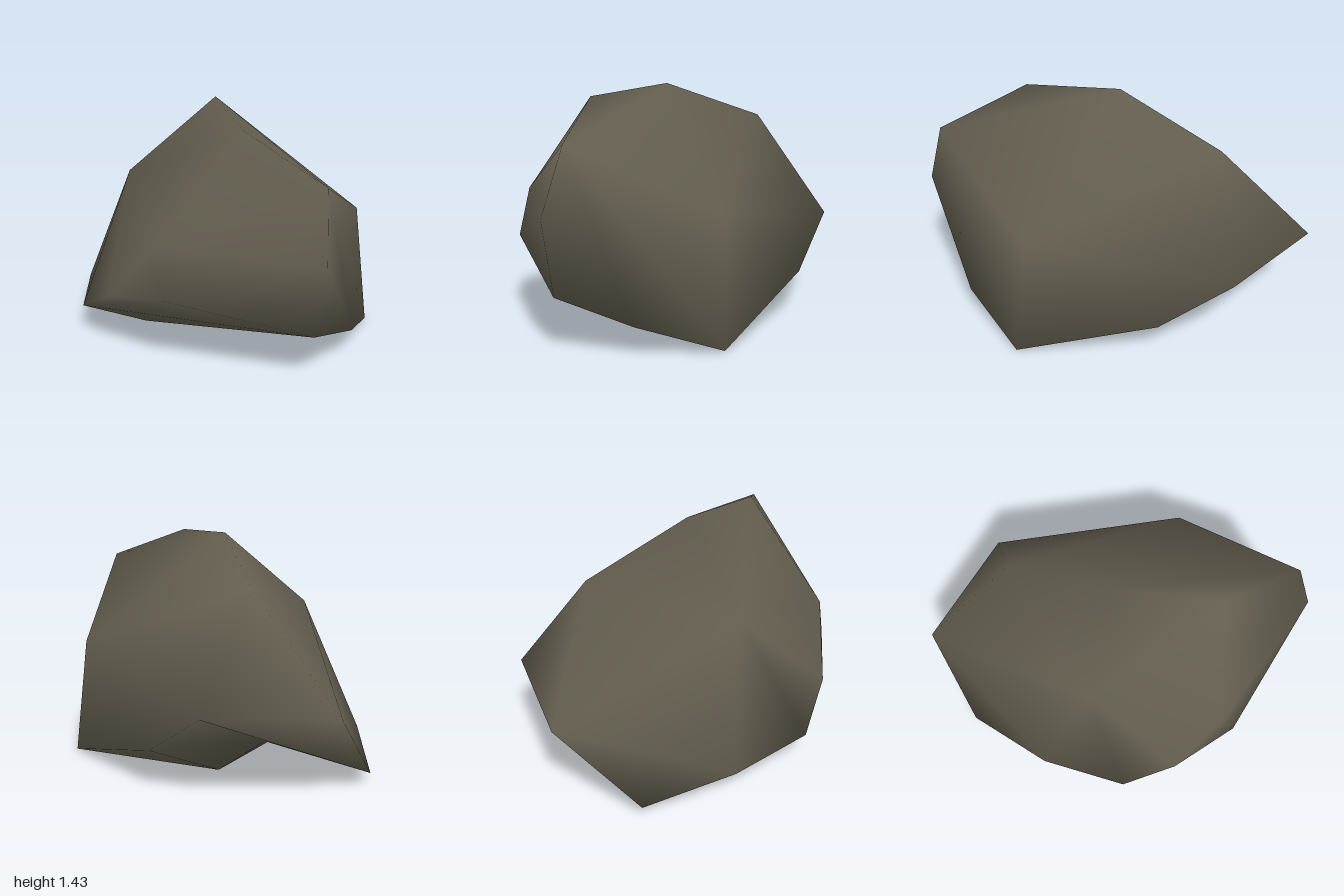
import * as THREE from 'three';
import { ConvexGeometry } from 'three/addons/geometries/ConvexGeometry.js';

// Named corners of the boulder
const CORNERS = {
  // crown and shoulders
  crown: [-0.05, 1.43, 0.05], crownFront: [0.21, 1.38, 0.6], crownBack: [-0.18, 1.2, -0.63],
  shoulderLeft: [0.7, 1.17, 0.87], shoulderRight: [-0.57, 0.97, 0.17],
  // girth
  sideLeft: [0.83, 0.75, 0], frontLeft: [0.72, 0.78, 1], frontRight: [-0.24, 0.78, 0.9],
  frontLow: [-0.17, 0.5, 0.98], cheekRight: [-0.55, 0.4, 0.78],
  backRight: [-0.65, 0.56, -1], backLeft: [0.12, 0.57, -0.99],
  // lower edge
  chin: [0.66, 0.33, 0.93], lowRight: [-0.79, 0.2, 0.54],
  rimFront: [0.85, 0.18, 0.53], rimBack: [0.41, 0.27, -0.67],
  rimRight: [-0.92, 0.16, 0.01], rimCorner: [-0.9, 0.075, -0.57],
  // points it rests on
  footRight: [-0.46, 0, 0.3], footLeft: [0.92, 0.01, 0.03], footBack: [0, 0.02, -0.37],
};

// The underside is hollowed around one raised point, up to the back edge
const DENT = [-0.3, 0.12, -0.15];
const UNDERSIDE = [
  ['dent', 'rimCorner', 'backLeft'], ['dent', 'backLeft', 'rimBack'],
  ['dent', 'rimBack', 'footBack'], ['dent', 'footBack', 'footRight'],
  ['dent', 'footRight', 'rimRight'], ['dent', 'rimRight', 'rimCorner'],
  ['footBack', 'rimBack', 'footLeft'], ['footBack', 'footLeft', 'rimFront'],
  ['footBack', 'rimFront', 'footRight'],
];

function boulderGeometry() {
  const names = [...Object.keys(CORNERS), 'dent'];
  const points = [...Object.values(CORNERS), DENT].map((p) => new THREE.Vector3(...p));
  const under = new Set(UNDERSIDE.flat());
  const index = [];

  // Convex shell, leaving out the flat underside
  const shell = new ConvexGeometry(points.slice(0, -1)).attributes.position;
  const corner = new THREE.Vector3();
  for (let i = 0; i < shell.count; i += 3) {
    const face = [0, 1, 2].map((k) => {
      corner.fromBufferAttribute(shell, i + k);
      return points.findIndex((p) => p.distanceTo(corner) < 1e-3);
    });
    if (!face.every((k) => under.has(names[k]))) index.push(...face);
  }

  // Hollow underside
  for (const face of UNDERSIDE) index.push(...face.map((n) => names.indexOf(n)));

  // Shared corners give soft shading across the facets
  const geometry = new THREE.BufferGeometry().setFromPoints(points);
  geometry.setIndex(index);
  geometry.computeVertexNormals();
  return geometry;
}

export function createModel() {
  const group = new THREE.Group();
  group.name = 'rock';

  const stone = new THREE.MeshStandardMaterial({ color: 0x625d4e });
  stone.name = 'brown grey stone';

  const boulder = new THREE.Mesh(boulderGeometry(), stone);
  boulder.name = 'boulder';
  group.add(boulder);
  return group;
}
